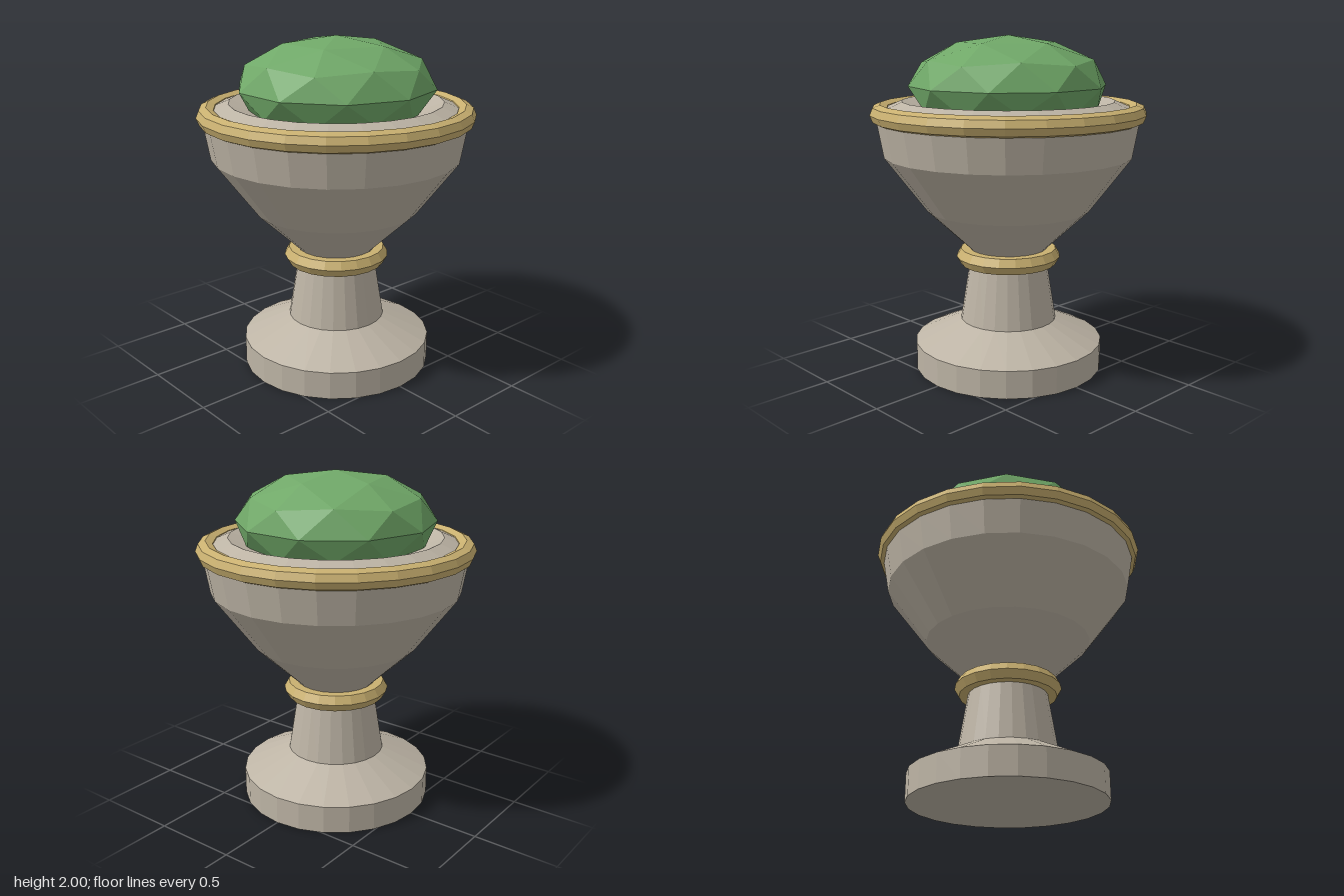
import * as THREE from 'three';

const SEGMENTS = 24;

function material(name, color) {
  const m = new THREE.MeshStandardMaterial({ color, flatShading: true });
  m.name = name;
  return m;
}

function addMesh(group, name, geometry, mat, y = 0) {
  const mesh = new THREE.Mesh(geometry, mat);
  mesh.name = name;
  mesh.position.y = y;
  group.add(mesh);
  return mesh;
}

// Faceted turned part from [radius, height] pairs, bottom to top
function turned(profile) {
  return new THREE.LatheGeometry(profile.map(([r, y]) => new THREE.Vector2(r, y)), SEGMENTS);
}

// Horizontal ring with a polygonal section
function ring(radius, tube, sides, segments) {
  return new THREE.TorusGeometry(radius, tube, sides, segments).rotateX(Math.PI / 2);
}

export function createModel() {
  const group = new THREE.Group();
  group.name = 'gemPedestal';
  const stone = material('stone', 0xbdb4a5);
  const gold = material('gold', 0xc9b070);
  const green = material('greenGem', 0x70a868);

  // Foot, sloping shoulder and tapered stem
  addMesh(group, 'footAndStem', turned([
    [0, 0], [0.57, 0], [0.57, 0.165], [0.29, 0.295], [0.235, 0.64], [0.22, 0.72],
  ]), stone);

  // Flared bowl with a raised lip that dips under the gem
  addMesh(group, 'bowl', turned([
    [0.2, 0.68], [0.235, 0.74], [0.49, 0.98], [0.735, 1.305], [0.77, 1.5],
    [0.755, 1.57], [0.625, 1.625], [0.5, 1.58], [0, 1.56],
  ]), stone);

  // Gold bands
  addMesh(group, 'neckBand', ring(0.26, 0.055, 6, 20), gold, 0.687);
  addMesh(group, 'rimBand', ring(0.752, 0.059, 8, SEGMENTS), gold, 1.553);

  // Flattened faceted gem, turned so that one corner points straight up
  const golden = (1 + Math.sqrt(5)) / 2;
  const gem = new THREE.IcosahedronGeometry(1, 1)
    .rotateZ(-Math.atan(1 / golden))
    .scale(0.585, 0.29, 0.585);
  addMesh(group, 'gem', gem, green, 1.71);

  return group;
}
